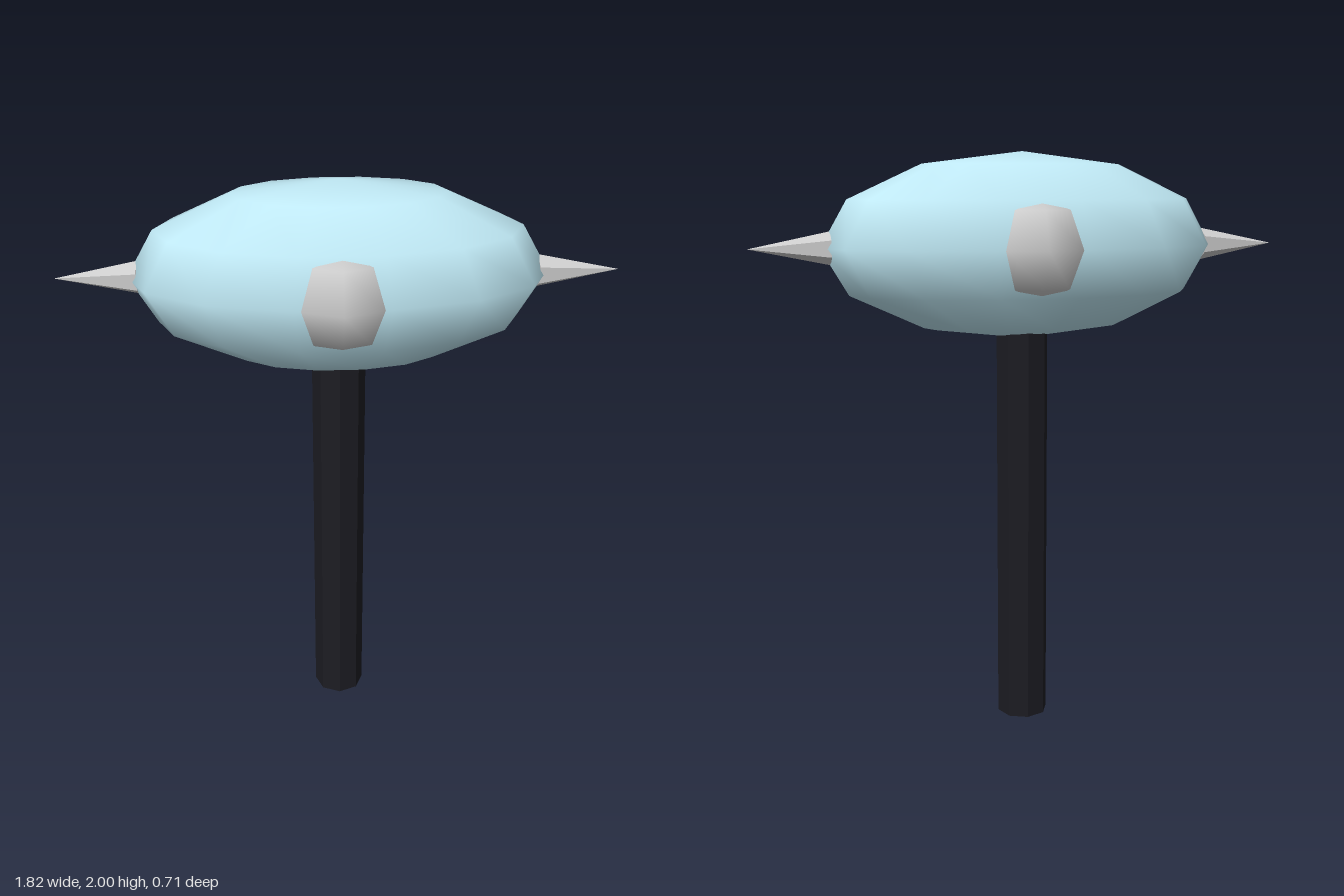
import * as THREE from 'three';

const HEAD_Y = 1.6875;

function addMesh(parent, name, geometry, color, flatShading = false) {
  const mesh = new THREE.Mesh(geometry, new THREE.MeshStandardMaterial({ color, flatShading }));
  mesh.name = name;
  parent.add(mesh);
  return mesh;
}

export function createModel() {
  const model = new THREE.Group();
  model.name = 'hammer';

  // Eight-sided handle, ending inside the head
  const handle = new THREE.CylinderGeometry(0.09, 0.09, 1.5, 8);
  handle.translate(0, 0.75, 0);
  addMesh(model, 'handle', handle, 0x1c1c22, true);

  // Long faceted-outline head
  const head = new THREE.SphereGeometry(1, 14, 6);
  head.scale(0.68, 0.3125, 0.315);
  addMesh(model, 'head', head, 0xbfe8f4).position.y = HEAD_Y;

  for (const side of [1, -1]) {
    // Six-sided spike at each end of the head
    const spike = new THREE.ConeGeometry(0.055, 0.267, 6);
    spike.rotateY(Math.PI / 2);
    spike.rotateZ(-Math.PI / 2 * side);
    addMesh(model, side > 0 ? 'leftSpike' : 'rightSpike', spike, 0xcccccc, true)
      .position.set(side * 0.7785, HEAD_Y, 0);

    // Rounded stud on the front and back of the head
    const stud = new THREE.SphereGeometry(1, 8, 4);
    stud.scale(0.177, 0.177, 0.154);
    addMesh(model, side > 0 ? 'frontStud' : 'backStud', stud, 0xcccccc)
      .position.set(0, HEAD_Y, side * 0.203);
  }
  return model;
}
